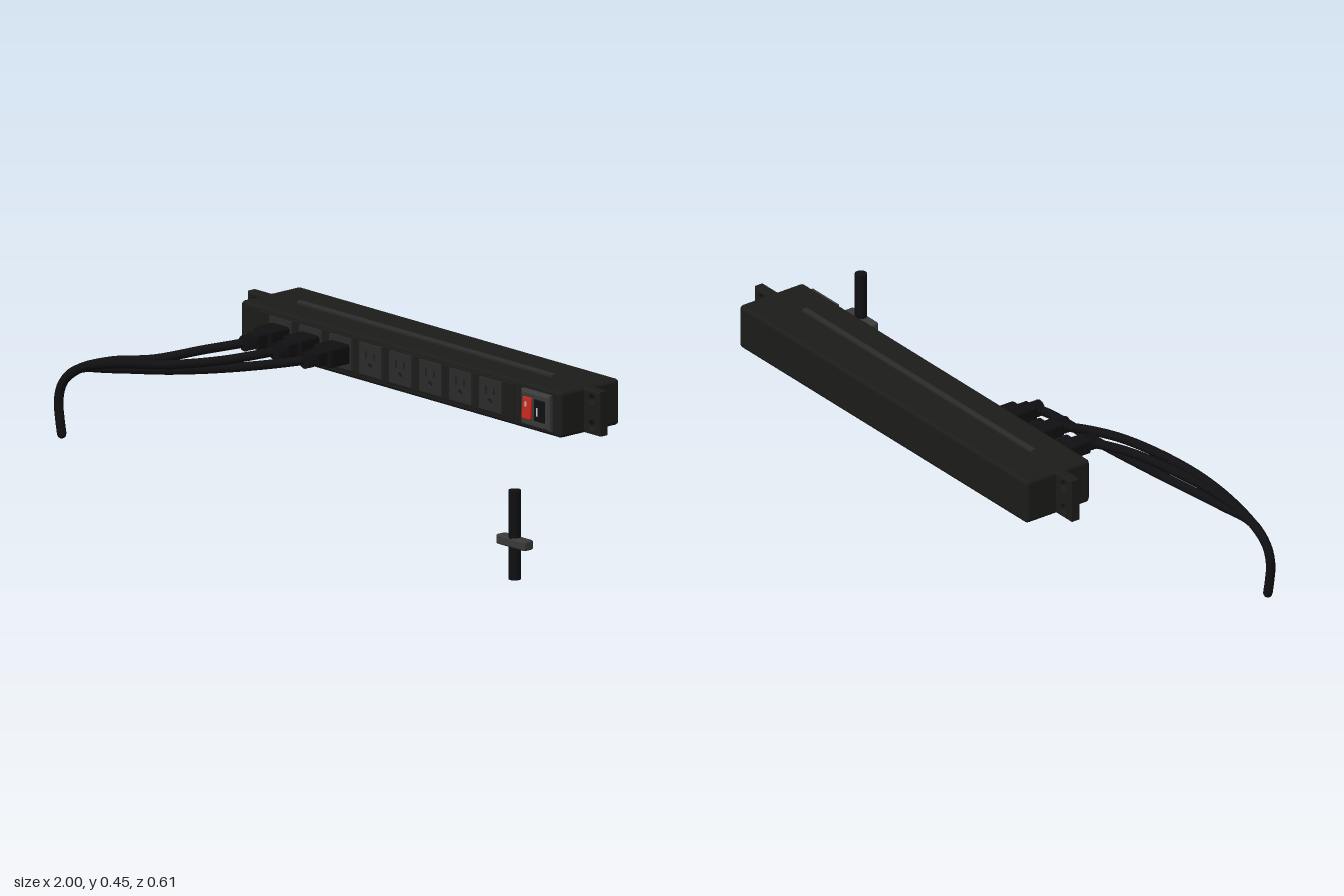
import * as THREE from 'three';
import { RoundedBoxGeometry } from 'three/addons/geometries/RoundedBoxGeometry.js';

const mat = (color) => new THREE.MeshStandardMaterial({ color });
const BLACK = mat(0x1c1c1a), CABLE = mat(0x101012), DARK = mat(0x2b2b2b);
const GREY = mat(0x3a3a3a), RED = mat(0xc8281e), WHITE = mat(0xe6e6e6);
const MID = 0.371; // height of the strip's axis

export function createModel() {
  const root = new THREE.Group();

  function add(name, geometry, material, x = 0, y = 0, z = 0, parent = root) {
    const mesh = new THREE.Mesh(geometry, material);
    mesh.name = name;
    mesh.position.set(x, y, z);
    parent.add(mesh);
    return mesh;
  }
  // Box given by its limits, with softened edges when r > 0
  function box(name, [x0, x1], [y0, y1], [z0, z1], material, r = 0, parent = root) {
    const w = x1 - x0, h = y1 - y0, d = z1 - z0;
    const g = r ? new RoundedBoxGeometry(w, h, d, 3, r) : new THREE.BoxGeometry(w, h, d);
    return add(name, g, material, (x0 + x1) / 2, (y0 + y1) / 2, (z0 + z1) / 2, parent);
  }
  function rect(path, x, y, w, h) {
    path.moveTo(x - w / 2, y - h / 2);
    path.lineTo(x + w / 2, y - h / 2);
    path.lineTo(x + w / 2, y + h / 2);
    path.lineTo(x - w / 2, y + h / 2);
    path.closePath();
    return path;
  }
  const plate = (shape, depth, bevel = 0) => new THREE.ExtrudeGeometry(shape, {
    depth, bevelEnabled: bevel > 0, bevelSize: bevel, bevelThickness: bevel, bevelOffset: -bevel, bevelSegments: 1, curveSegments: 16,
  });

  // Housing with raised ribs along its top and bottom
  box('housing', [-0.62, 0.73], [0.303, 0.439], [-0.305, -0.077], BLACK, 0.012);
  box('topRib', [-0.485, 0.59], [0.43, 0.448], [-0.187, -0.169], DARK, 0.004);
  box('bottomRib', [-0.485, 0.59], [0.294, 0.31], [-0.187, -0.169], DARK, 0.004);
  box('frontPanel', [-0.54, 0.535], [0.321, 0.427], [-0.082, -0.073], BLACK, 0.003);

  // Mounting ears, each with two screw holes
  for (const [name, x] of [['rightEar', -0.65], ['leftEar', 0.757]]) {
    const ear = rect(new THREE.Shape(), 0, 0, 0.08, 0.13);
    for (const y of [-0.038, 0.038]) {
      ear.holes.push(new THREE.Path().absarc(x < 0 ? -0.006 : 0.006, y, 0.012, 0, Math.PI * 2, true));
    }
    add(name, plate(ear, 0.026, 0.004), BLACK, x, MID, -0.196);
  }

  // Outlet face with two blade slots and a ground hole
  const face = rect(new THREE.Shape(), 0, 0, 0.092, 0.092);
  face.holes.push(rect(new THREE.Path(), -0.017, 0.012, 0.008, 0.026));
  face.holes.push(rect(new THREE.Path(), 0.017, 0.012, 0.008, 0.022));
  face.holes.push(new THREE.Path().absarc(0, -0.018, 0.009, 0, Math.PI * 2, true));
  const outletGeometry = plate(face, 0.008);
  const outletX = (i) => -0.44 + i * 0.1263;
  for (let i = 0; i < 8; i++) {
    add('outlet', outletGeometry, DARK, outletX(i), 0.376, -0.074);
  }

  // Plugs with strain-relief rings, and the cables that gather at one side
  const routes = [
    [[-0.53, 0.352, 0.14], [-0.66, 0.312, 0.218], [-0.8, 0.285, 0.258]],
    [[-0.42, 0.348, 0.17], [-0.58, 0.316, 0.245], [-0.75, 0.29, 0.272]],
    [[-0.4, 0.325, 0.135], [-0.6, 0.288, 0.198], [-0.8, 0.262, 0.252]],
  ];
  const tail = [[-0.91, 0.244, 0.279], [-0.968, 0.195, 0.286], [-0.985, 0.14, 0.288], [-0.98, 0.085, 0.288], [-0.972, 0.042, 0.288]];
  routes.forEach((route, i) => {
    const x = outletX(i), plug = new THREE.Group();
    plug.name = 'plug';
    root.add(plug);
    box('plugBody', [x - 0.039, x + 0.039], [0.347, 0.405], [-0.074, 0.006], CABLE, 0.008, plug);
    box('plugNeck', [x - 0.026, x + 0.026], [0.355, 0.398], [0, 0.044], CABLE, 0.006, plug);
    [0.047, 0.058, 0.07].forEach((z) => {
      const ring = new THREE.CylinderGeometry(0.024, 0.024, 0.004, 20).rotateX(Math.PI / 2);
      add('strainRing', ring, CABLE, x, 0.376, z, plug);
    });
    const points = [[x, 0.376, 0.03], [x - 0.012, 0.373, 0.065], ...route, ...tail]
      .map((p) => new THREE.Vector3(...p));
    const curve = new THREE.CatmullRomCurve3(points, false, 'centripetal');
    add('cable', new THREE.TubeGeometry(curve, 72, 0.0135, 12), CABLE);
    add('cableEnd', new THREE.SphereGeometry(0.0135, 12, 8), CABLE, ...tail[4]);
  });

  // Power switch: bezel, red rocker, and breaker beside it
  const power = new THREE.Group();
  power.name = 'powerSwitch';
  root.add(power);
  const bezel = add('bezel', plate(rect(new THREE.Shape(), 0, 0, 0.12, 0.106), 0.01, 0.007), GREY, 0.641, 0.373, -0.073, power);
  bezel.geometry.computeVertexNormals();
  const rocker = box('rocker', [0.596, 0.633], [0.343, 0.407], [-0.068, -0.049], RED, 0.003, power);
  rocker.rotation.x = -0.08;
  box('rockerMark', [0.612, 0.616], [0.381, 0.395], [-0.052, -0.0465], WHITE, 0, power);
  box('breaker', [0.643, 0.688], [0.343, 0.407], [-0.062, -0.052], CABLE, 0.003, power);
  box('breakerMark', [0.654, 0.661], [0.359, 0.384], [-0.056, -0.051], WHITE, 0, power);

  // Separate cable stub with its clip
  add('cableStub', new THREE.CylinderGeometry(0.0178, 0.0178, 0.262, 24), CABLE, 0.937, 0.131, 0.2875);
  box('cableClip', [0.876, 0.998], [0.095, 0.124], [0.27, 0.306], GREY, 0.006);

  return root;
}
